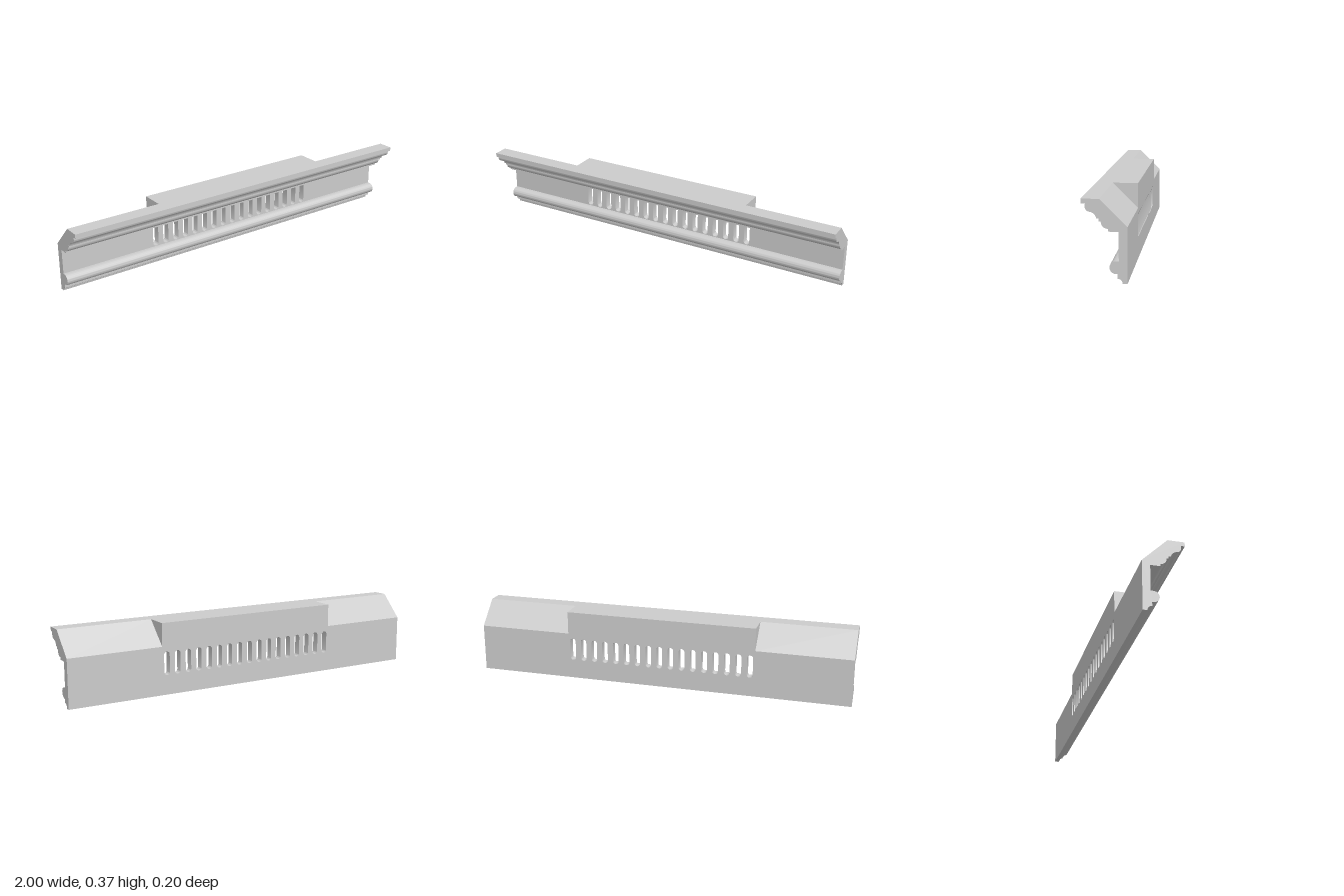
import * as THREE from 'three';
import { toCreasedNormals } from 'three/addons/utils/BufferGeometryUtils.js';

const END = 1, MID = 0.505;           // half length of the rail and of its raised centre
const BACK = -0.1, FACE = -0.0625;    // z of the back and of the recessed front panel
const TOP = 0.366, RIDGE = 0.02, EAVE = 0.247; // top edge and ends of the back chamfer
const SLOTS = 17, PITCH = 0.06;

// Sweep an open (z, y) profile along x
function strip(points, x0, x1) {
  const pos = [];
  for (let i = 0; i < points.length - 1; i++) {
    const a = points[i], b = points[i + 1];
    const v = (p, x) => [x, p.y, p.x];
    pos.push(...v(a, x0), ...v(b, x0), ...v(a, x1));
    pos.push(...v(b, x0), ...v(b, x1), ...v(a, x1));
  }
  const g = new THREE.BufferGeometry();
  g.setAttribute('position', new THREE.Float32BufferAttribute(pos, 3));
  g.computeVertexNormals();
  return toCreasedNormals(g, 0.6);
}

const pts = (...list) => list.map(([a, b]) => new THREE.Vector2(a, b));

// Crown moulding, from the top ridge down to the panel
function crownProfile() {
  const p = new THREE.Path();
  p.moveTo(RIDGE, TOP).lineTo(0.1, TOP).lineTo(0.1, 0.345).lineTo(0.081, 0.345);
  p.bezierCurveTo(0.086, 0.33, 0.08, 0.312, 0.062, 0.31);
  p.bezierCurveTo(0.047, 0.308, 0.036, 0.296, 0.033, 0.282);
  p.lineTo(0.023, 0.282).lineTo(0.023, 0.27).lineTo(0.014, 0.27);
  p.bezierCurveTo(0.014, 0.252, 0.002, 0.238, -0.016, 0.238);
  p.lineTo(-0.016, 0.226).lineTo(FACE, 0.226);
  return p.getPoints(14);
}

// Bead and cove, from the panel down to the back edge
function baseProfile() {
  const p = new THREE.Path();
  p.moveTo(FACE, 0.098).lineTo(-0.05, 0.098);
  p.absarc(-0.05, 0.0705, 0.0275, Math.PI / 2, -Math.PI / 2, true);
  p.lineTo(-0.057, 0.043).lineTo(-0.057, 0.0225);
  p.absarc(-0.058, 0.002, 0.0205, Math.PI / 2, Math.PI, false);
  p.lineTo(-0.0785, 0).lineTo(BACK, 0);
  return p.getPoints(14);
}

// Rounded upright slot centred on x
function slotPath(x) {
  const r = 0.0155, p = new THREE.Path();
  p.absarc(x, 0.205, r, 0, Math.PI, false);
  p.absarc(x, 0.1165, r, Math.PI, Math.PI * 2, false);
  p.closePath();
  return p;
}

export function createModel() {
  const group = new THREE.Group();
  const material = new THREE.MeshStandardMaterial({ color: 0xcccccc, side: THREE.DoubleSide });
  const add = (name, geometry) => {
    const mesh = new THREE.Mesh(geometry, material);
    mesh.name = name;
    group.add(mesh);
    return mesh;
  };
  const crown = crownProfile(), base = baseProfile();

  // Mouldings along the full length
  add('crownMoulding', strip(crown, -END, END));
  add('baseMoulding', strip(base, -END, END));

  // Slotted front panel and back
  const slotXs = Array.from({ length: SLOTS }, (_, i) => (i - (SLOTS - 1) / 2) * PITCH);
  const panel = (outline) => {
    const shape = new THREE.Shape(outline);
    shape.holes = slotXs.map(slotPath);
    return new THREE.ShapeGeometry(shape, 10);
  };
  add('frontPanel', panel(pts([-END, 0.098], [END, 0.098], [END, 0.226], [-END, 0.226])))
    .position.z = FACE;
  const back = add('backPanel', panel(pts([-END, 0], [END, 0], [END, EAVE], [MID, EAVE],
    [MID, TOP], [-MID, TOP], [-MID, EAVE], [-END, EAVE])));
  back.position.z = BACK;
  back.rotation.y = Math.PI;

  // Slot walls through the panel
  const wall = strip(slotPath(0).getPoints(10), BACK, FACE).rotateY(-Math.PI / 2);
  for (const x of slotXs) add('slotWall', wall).position.x = x;

  // Flat top of the raised centre
  add('centreTop', strip(pts([BACK, TOP], [RIDGE, TOP]), -MID, MID));

  // Chamfers, step faces and end faces
  const chamfer = pts([BACK, EAVE], [RIDGE, TOP]);
  const step = new THREE.ShapeGeometry(new THREE.Shape([...chamfer, ...pts([BACK, TOP])]));
  const end = new THREE.ShapeGeometry(new THREE.Shape([...crown, ...base, ...pts([BACK, EAVE])]));
  for (const side of [-1, 1]) {
    const label = side < 0 ? 'right' : 'left';
    add(label + 'Chamfer', side < 0 ? strip(chamfer, -END, -MID) : strip(chamfer, MID, END));
    for (const [name, geometry, x] of [['Step', step, MID], ['End', end, END]]) {
      const face = geometry.clone().rotateY(-Math.PI / 2);
      if (side > 0) { // turn the face towards +x
        const index = face.index.array;
        for (let i = 0; i < index.length; i += 3) [index[i], index[i + 1]] = [index[i + 1], index[i]];
        face.computeVertexNormals();
      }
      add(label + name, face).position.x = side * x;
    }
  }
  return group;
}
